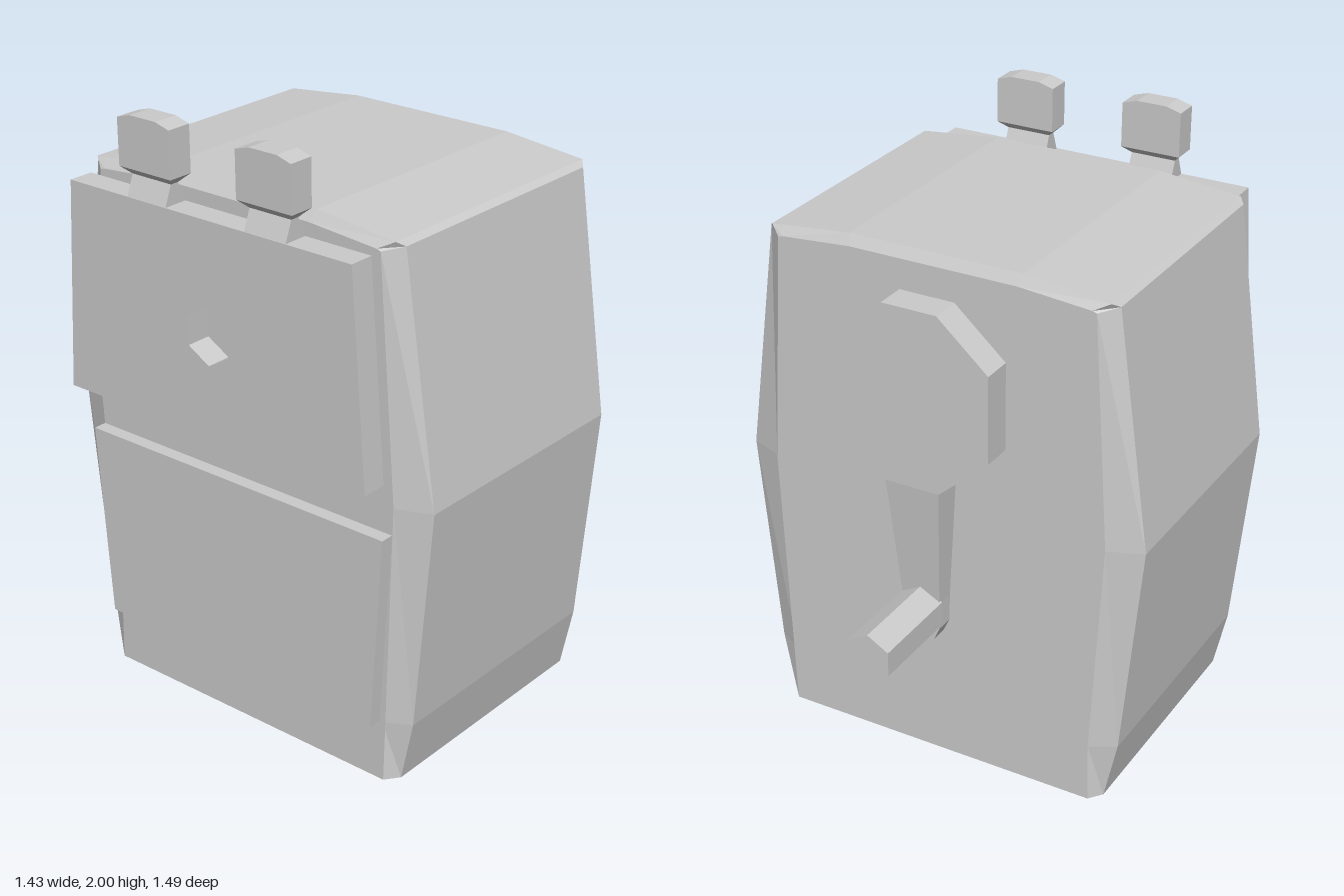
import * as THREE from 'three';

const material = new THREE.MeshStandardMaterial({ color: 0xcccccc, flatShading: true });

function add(parent, name, geometry, x = 0, y = 0, z = 0) {
  const mesh = new THREE.Mesh(geometry, material);
  mesh.name = name;
  mesh.position.set(x, y, z);
  parent.add(mesh);
  return mesh;
}

// Closed skin over convex rings, each counter-clockwise seen from the last ring's end
function loft(rings) {
  const n = rings[0].length, index = [];
  for (let r = 0; r < rings.length - 1; r++) {
    for (let i = 0; i < n; i++) {
      const a = r * n + i, b = r * n + (i + 1) % n;
      index.push(a, b, b + n, a, b + n, a + n);
    }
  }
  const last = (rings.length - 1) * n;
  for (let i = 1; i < n - 1; i++) {
    index.push(0, i + 1, i, last, last + i, last + i + 1);
  }
  const g = new THREE.BufferGeometry();
  g.setAttribute('position', new THREE.Float32BufferAttribute(rings.flat(2), 3));
  g.setIndex(index);
  const flat = g.toNonIndexed();
  flat.computeVertexNormals();
  return flat;
}

// Mirror a right-hand outline (bottom to top) into a full loop
const mirror = (half) => [...half, ...half.map(([x, ...rest]) => [-x, ...rest]).reverse()];

// Horizontal rectangle used as a loft ring
const rect = (y, w, z0, z1) => [[w, y, z1], [w, y, z0], [-w, y, z0], [-w, y, z1]];

// Flat plate extruded along z from z0 to z1
function plate(points, z0, z1, hole) {
  const shape = new THREE.Shape(points.map(([x, y]) => new THREE.Vector2(x, y)));
  if (hole) shape.holes.push(new THREE.Path(hole.map(([x, y]) => new THREE.Vector2(x, y))));
  const g = new THREE.ExtrudeGeometry(shape, { depth: z1 - z0, bevelEnabled: false });
  return g.translate(0, 0, z0);
}

// Hexagonal bar along z with a corner pointing up
function hexBar(r, z0, z1) {
  return new THREE.CylinderGeometry(r, r, z1 - z0, 6)
    .rotateX(Math.PI / 2).translate(0, 0, (z0 + z1) / 2);
}

export function createModel() {
  const model = new THREE.Group();
  model.name = 'pencilSharpener';

  // Barrel-shaped housing with bevelled front and back rims
  const outer = [[0.6, 0], [0.645, 0.21], [0.715, 0.96], [0.605, 1.76], [0.585, 1.775], [0.3, 1.805]];
  const inner = [[0.565, 0], [0.56, 0.21], [0.6, 0.96], [0.55, 1.745], [0.535, 1.75], [0.29, 1.77]];
  const rim = (sideZ, topZ) => mirror(outer.map(([x, y], i) => [x, y, i < 4 ? sideZ : topZ]));
  const face = (z) => mirror(inner.map(([x, y]) => [x, y, z]));
  add(model, 'housing', loft([face(-0.335), rim(-0.29, -0.315), rim(0.575, 0.597), face(0.62)]));

  // Sliding clamp plate with the pencil hole, standing off on two guide rods
  const clamp = new THREE.Group();
  clamp.name = 'clamp';
  model.add(clamp);
  const hole = [];
  for (let i = 0; i < 6; i++) {
    const a = Math.PI / 6 - i * Math.PI / 3;
    hole.push([0.092 * Math.cos(a), 1.377 + 0.092 * Math.sin(a)]);
  }
  add(clamp, 'clampPlate', plate(mirror([[0.595, 1.05], [0.55, 1.745]]), 0.66, 0.745, hole));
  for (const s of [-1, 1]) {
    add(clamp, 'guideRod', hexBar(0.04, 0.6, 0.67), s * 0.49, 1.2);
    // Finger grip: tapered neck, flared head, chamfered top
    add(clamp, 'fingerGrip', loft([
      rect(1.74, 0.078, 0.66, 0.745),
      rect(1.81, 0.078, 0.688, 0.718),
      rect(1.835, 0.104, 0.66, 0.745),
      rect(1.985, 0.104, 0.66, 0.745),
      rect(2.0, 0.052, 0.66, 0.745),
    ]), s * 0.232);
  }

  // Shavings drawer
  add(model, 'drawerFront', plate(mirror([[0.55, 0.21], [0.595, 0.87]]), 0.61, 0.665));

  // Crank at the back
  const crank = new THREE.Group();
  crank.name = 'crank';
  model.add(crank);
  add(crank, 'axle', hexBar(0.09, -0.37, -0.32), 0, 1.377);
  const disc = mirror([[0.095, 1.08], [0.27, 1.235], [0.27, 1.53], [0.095, 1.685]]);
  add(crank, 'crankDisc', plate(disc, -0.47, -0.365));
  add(crank, 'crankArm', loft([
    rect(0.505, 0.045, -0.425, -0.367),
    rect(0.55, 0.065, -0.425, -0.362),
    rect(0.65, 0.068, -0.428, -0.362),
    rect(1.08, 0.095, -0.47, -0.365),
  ]));
  add(crank, 'handle', hexBar(0.085, -0.745, -0.42), 0, 0.61);

  return model;
}
